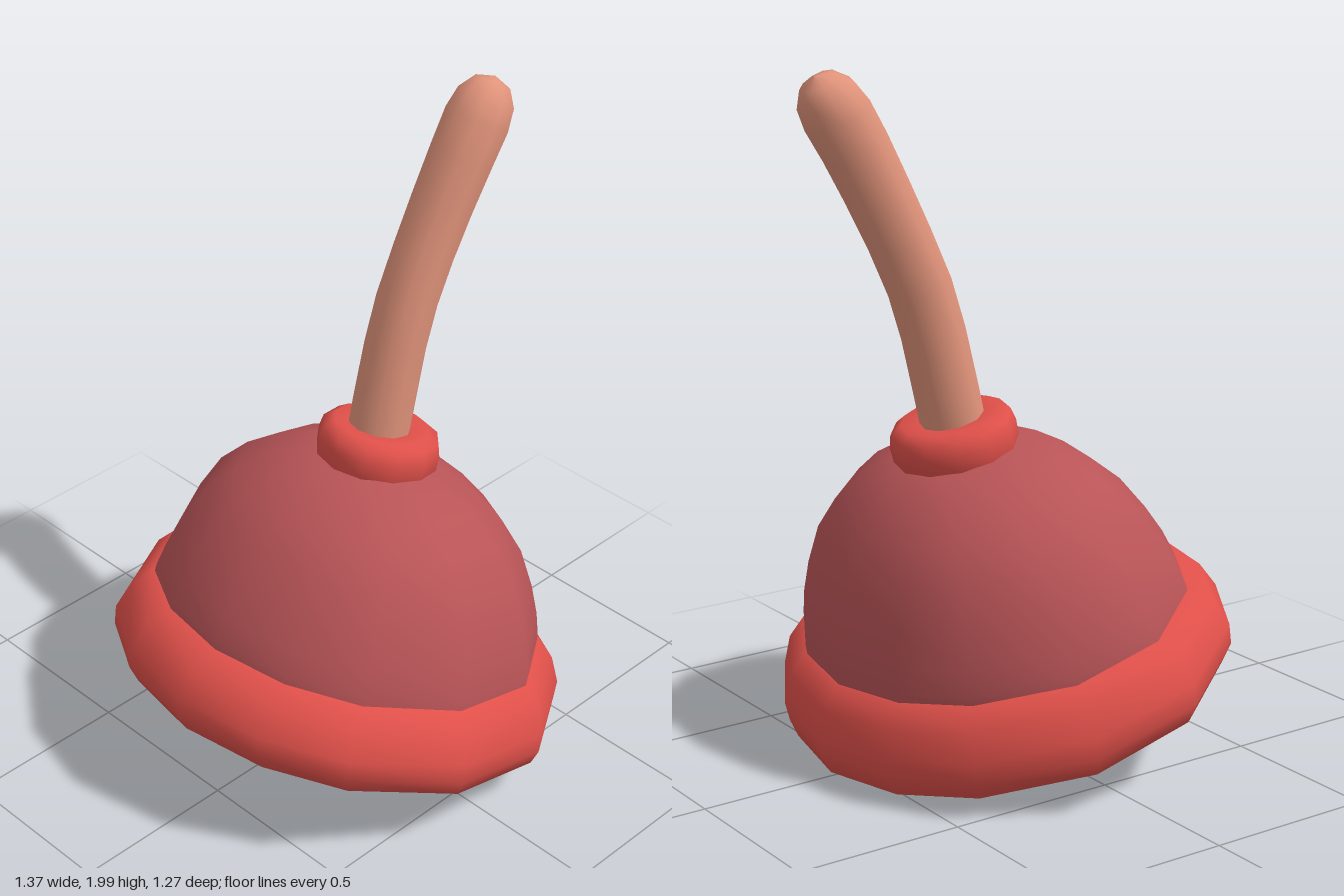
import * as THREE from 'three';

const material = (name, color) => {
  const m = new THREE.MeshStandardMaterial({ color });
  m.name = name;
  return m;
};

// Joins rings of equal length with smooth normals, running outward and up
function loft(rings) {
  const n = rings[0].length, index = [];
  for (let i = 0; i < rings.length - 1; i++) {
    for (let j = 0; j < n; j++) {
      const a = i * n + j, b = i * n + (j + 1) % n;
      index.push(a, b, a + n, b, b + n, a + n);
    }
  }
  const geo = new THREE.BufferGeometry().setFromPoints(rings.flat());
  geo.setIndex(index);
  geo.computeVertexNormals();
  return geo;
}

// Fourteen-sided outline with broad straight sides, as unit [x, z]
const half = [[0, 1], [0.402, 0.917], [0.731, 0.705], [1, 0.263],
  [1, -0.263], [0.731, -0.705], [0.402, -0.917], [0, -1]];
const outline = [...half, ...half.slice(1, -1).reverse().map(([x, z]) => [-x, z])];

// Regular outline for the collar
const circle = Array.from({ length: 12 }, (_, i) => {
  const a = i * Math.PI / 6;
  return [Math.sin(a), Math.cos(a)];
});

// Each profile row: x radius, z radius, height, z offset
const stack = (shape, profile) => loft(profile.map(([rx, rz, y, dz]) =>
  shape.map(([x, z]) => new THREE.Vector3(x * rx, y, z * rz + dz))));

export function createModel() {
  const model = new THREE.Group();
  model.name = 'plunger';
  const red = material('bright red rubber', 0xe0504a);
  const dull = material('dull red rubber', 0xb85457);
  const wood = material('warm wood', 0xe0937a);

  const add = (parent, name, geo, mat) => {
    const mesh = new THREE.Mesh(geo, mat);
    mesh.name = name;
    parent.add(mesh);
  };

  // Rubber cup, leaning backward
  const cup = new THREE.Group();
  cup.name = 'cup';
  cup.position.y = 0.14;
  cup.rotation.x = -0.2455;
  model.add(cup);

  // Rim, rolling under into the conical hollow
  add(cup, 'rimAndHollow', stack(outline, [
    [0, 0, 0.24, 0],
    [0.28, 0.26, 0.14, 0],
    [0.55, 0.513, 0.018, 0],
    [0.605, 0.565, 0, 0],
    [0.66, 0.622, 0.022, 0.015],
    [0.684, 0.647, 0.075, 0.03],
    [0.684, 0.652, 0.135, 0.033],
    [0.655, 0.615, 0.215, 0.033],
    [0.61, 0.553, 0.268, 0.028],
    [0.57, 0.51, 0.258, 0.028],
  ]), red);

  add(cup, 'dome', stack(outline, [
    [0.605, 0.545, 0.25, 0.028],
    [0.601, 0.543, 0.29, 0.028],
    [0.585, 0.523, 0.36, 0.028],
    [0.556, 0.485, 0.45, 0.028],
    [0.503, 0.428, 0.56, 0.028],
    [0.425, 0.36, 0.645, 0.027],
    [0.325, 0.276, 0.717, 0.025],
    [0.2, 0.172, 0.772, 0.022],
    [0, 0, 0.79, 0.02],
  ]), dull);

  add(cup, 'collar', stack(circle, [
    [0.165, 0.165, 0.74, 0.029],
    [0.182, 0.182, 0.775, 0.029],
    [0.184, 0.184, 0.82, 0.029],
    [0.175, 0.175, 0.857, 0.03],
    [0.143, 0.143, 0.878, 0.03],
    [0.08, 0.08, 0.87, 0.028],
    [0, 0, 0.86, 0.028],
  ]), red);

  // Bent handle with a blunt, rounded end
  const path = new THREE.CatmullRomCurve3([
    [-0.006, 0.9, -0.158], [-0.006, 1.03, -0.188], [-0.005, 1.2, -0.227],
    [0, 1.38, -0.28], [0.009, 1.6, -0.38], [0.022, 1.8, -0.48],
    [0.025, 1.9, -0.54], [0.026, 1.983, -0.592],
  ].map(p => new THREE.Vector3(...p)));
  const steps = [[0, 0.093], [0.15, 0.093], [0.3, 0.092], [0.42, 0.092], [0.55, 0.092],
    [0.68, 0.094], [0.8, 0.097], [0.89, 0.099], [0.945, 0.088], [0.985, 0.055], [1, 0]];
  const rings = steps.map(([t, r]) => {
    const center = path.getPointAt(t), along = path.getTangentAt(t);
    const side = new THREE.Vector3(1, 0, 0).addScaledVector(along, -along.x).normalize();
    const front = side.clone().cross(along);
    return Array.from({ length: 10 }, (_, i) => {
      const a = i * Math.PI / 5;
      return center.clone().addScaledVector(side, r * Math.sin(a)).addScaledVector(front, r * Math.cos(a));
    });
  });
  add(model, 'handle', loft(rings), wood);

  return model;
}
